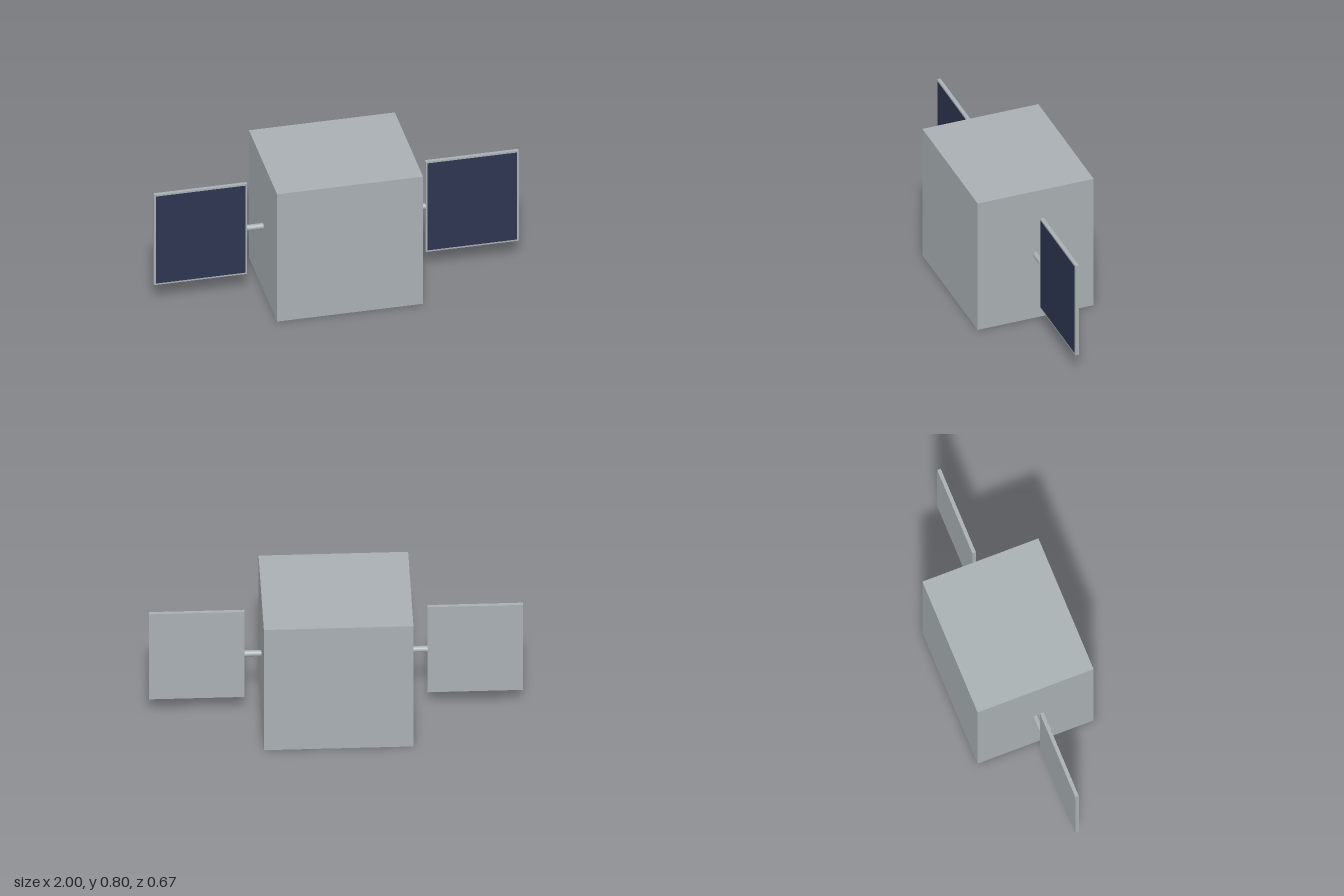
import * as THREE from 'three';

export function createModel() {
  const model = new THREE.Group();
  const metal = new THREE.MeshStandardMaterial({ color: 0xa9b0b3 });
  metal.name = 'grey metal';
  const navy = new THREE.MeshStandardMaterial({ color: 0x2d3550 });
  navy.name = 'navy solar cells';

  function add(name, geometry, material, x, y, z, parent = model) {
    const mesh = new THREE.Mesh(geometry, material);
    mesh.name = name;
    mesh.position.set(x, y, z);
    parent.add(mesh);
    return mesh;
  }

  // Main body
  add('body', new THREE.BoxGeometry(0.8, 0.8, 0.667), metal, 0, 0.4, 0);

  // A strut and a solar panel on each side
  const strutGeometry = new THREE.CylinderGeometry(0.017, 0.017, 0.09, 16).rotateZ(Math.PI / 2);
  const panelGeometry = new THREE.BoxGeometry(0.51, 0.566, 0.02);
  const cellGeometry = new THREE.BoxGeometry(0.49, 0.546, 0.002);
  for (const [side, s] of [['left', 1], ['right', -1]]) {
    const wing = new THREE.Group();
    wing.name = side + 'Wing';
    model.add(wing);
    add(side + 'Strut', strutGeometry, metal, s * 0.445, 0.4, 0, wing);
    add(side + 'PanelFrame', panelGeometry, metal, s * 0.745, 0.4, 0, wing);
    // Cells cover the front only
    add(side + 'SolarCells', cellGeometry, navy, s * 0.745, 0.4, 0.0105, wing);
  }
  return model;
}
